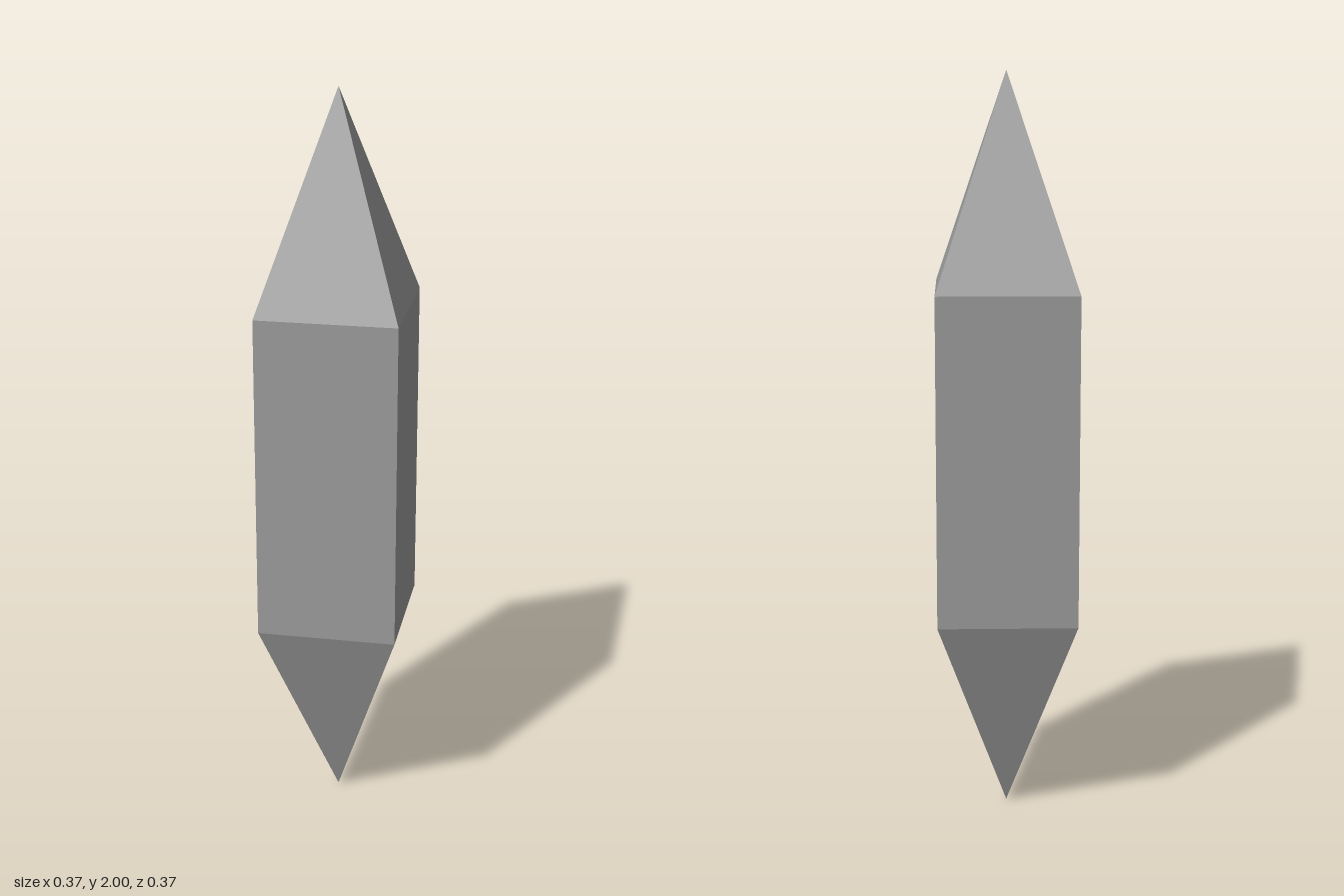
import * as THREE from 'three';

const HALF_WIDTH = 0.186;
const SHOULDER_LOW = 0.56;
const SHOULDER_HIGH = 1.44;
const HEIGHT = 2;

export function createModel() {
  const group = new THREE.Group();
  group.name = 'crystal';
  const material = new THREE.MeshStandardMaterial({ color: 0x9b9b9b, flatShading: true });
  const radius = HALF_WIDTH * Math.SQRT2;

  // Open four-sided section, turned so its flat sides face the axes
  function section(name, topRadius, bottomRadius, y0, y1) {
    const geometry = new THREE.CylinderGeometry(topRadius, bottomRadius, y1 - y0, 4, 1, true, Math.PI / 4);
    const mesh = new THREE.Mesh(geometry, material);
    mesh.name = name;
    mesh.position.y = (y0 + y1) / 2;
    group.add(mesh);
  }

  section('lowerPoint', radius, 0, 0, SHOULDER_LOW);
  section('shaft', radius, radius, SHOULDER_LOW, SHOULDER_HIGH);
  section('upperPoint', 0, radius, SHOULDER_HIGH, HEIGHT);

  return group;
}
